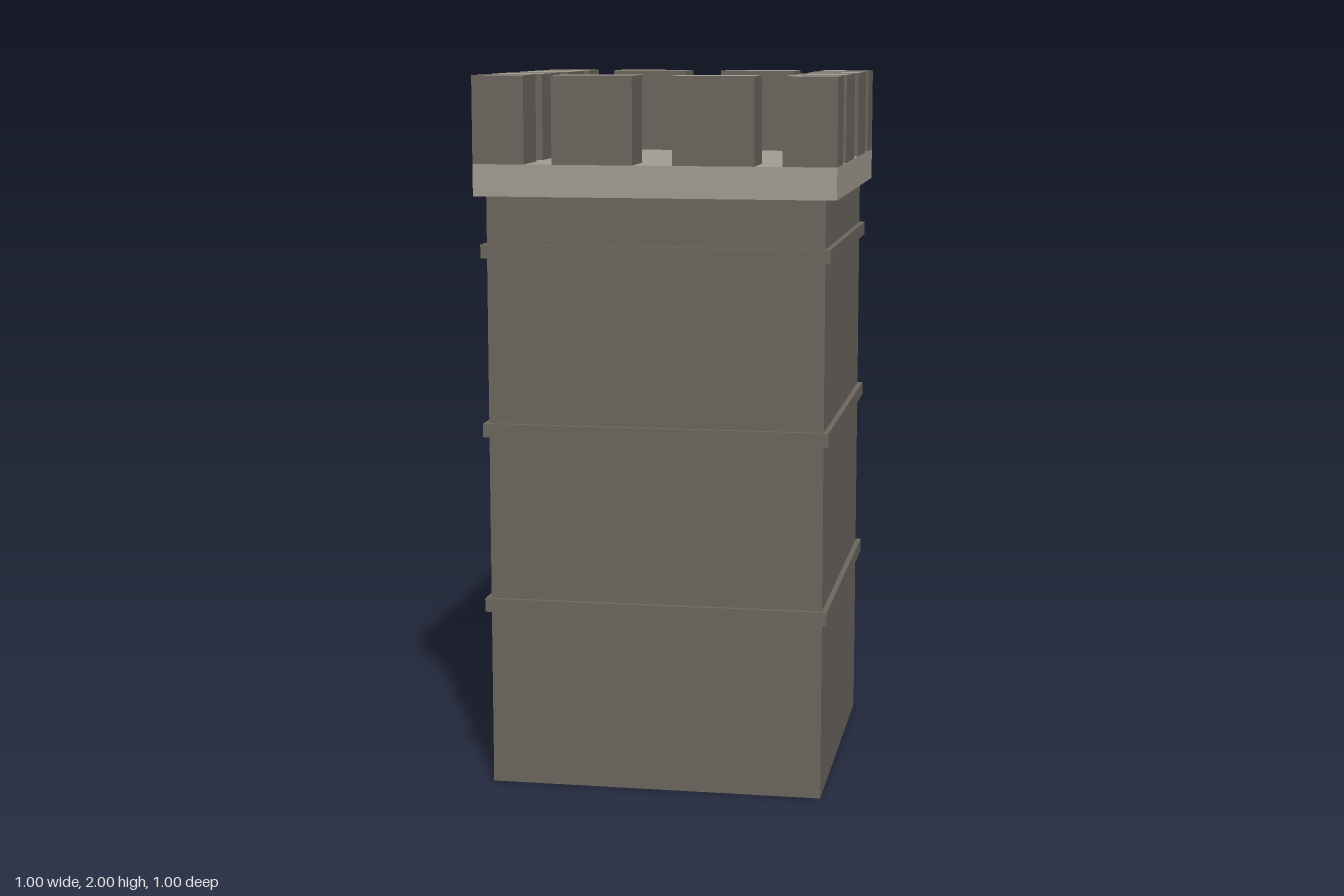
import * as THREE from 'three';

export function createModel() {
  const tower = new THREE.Group();
  tower.name = 'tower';

  const wallStone = new THREE.MeshStandardMaterial({ color: 0x6b655d });
  wallStone.name = 'wall stone';
  const paleStone = new THREE.MeshStandardMaterial({ color: 0xa19c90 });
  paleStone.name = 'pale stone';

  // Box given by its limits on each axis
  function block(name, [x0, x1], [y0, y1], [z0, z1], material) {
    const mesh = new THREE.Mesh(new THREE.BoxGeometry(x1 - x0, y1 - y0, z1 - z0), material);
    mesh.position.set((x0 + x1) / 2, (y0 + y1) / 2, (z0 + z1) / 2);
    mesh.name = name;
    tower.add(mesh);
  }

  // Square shaft
  const shaft = [-0.471, 0.467];
  block('shaft', shaft, [0, 1.675], shaft, wallStone);

  // Thin string courses around the shaft
  const course = [-0.486, 0.482];
  for (const y of [0.5, 1.0, 1.5]) block('stringCourse', course, [y, y + 0.038], course, wallStone);

  // Parapet slab: pale on top and on the front and left faces
  const [w, p] = [wallStone, paleStone];
  block('parapetSlab', [-0.5, 0.5], [1.672, 1.76], [-0.5, 0.5], [p, w, p, w, p, w]);

  // Battlements: a corner and two merlons along every edge, with pale tops
  const spans = [[-0.5, -0.356], [-0.279, -0.056], [0.053, 0.277], [0.353, 0.5]];
  const capped = [w, w, p, w, w, w];
  spans.forEach((xs, i) => spans.forEach((zs, j) => {
    const endX = i === 0 || i === 3;
    const endZ = j === 0 || j === 3;
    if (!endX && !endZ) return;
    block(endX && endZ ? 'cornerMerlon' : 'merlon', xs, [1.76, 2], zs, capped);
  }));

  return tower;
}
